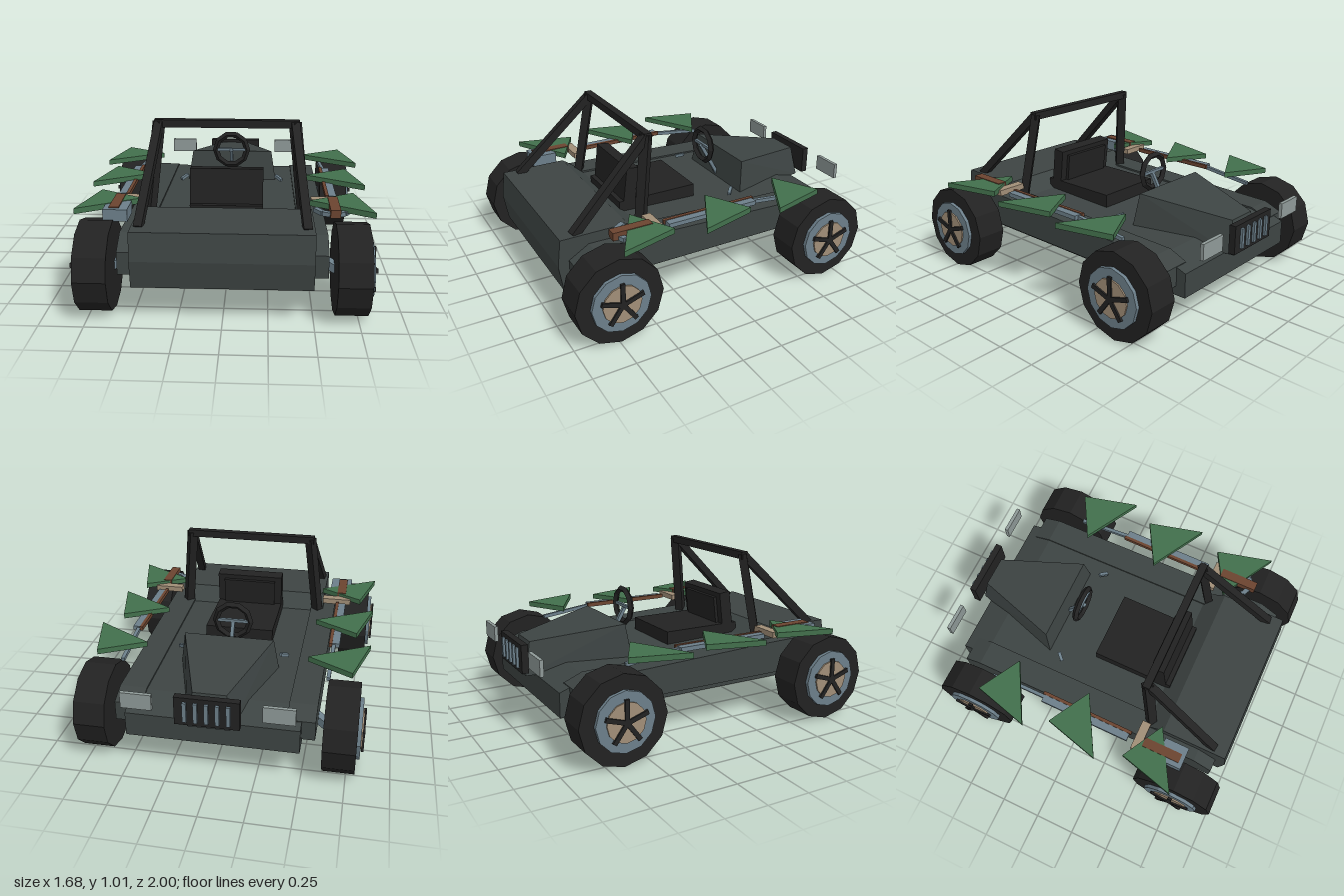
import * as THREE from 'three';
import { ConvexGeometry } from 'three/addons/geometries/ConvexGeometry.js';

const V = (x, y, z) => new THREE.Vector3(x, y, z);

export function createModel() {
  const model = new THREE.Group();
  model.name = 'buggy';
  const mat = (name, color) => {
    const m = new THREE.MeshStandardMaterial({ color, flatShading: true });
    m.name = name;
    return m;
  };
  const body = mat('body grey', 0x3d4443);
  const black = mat('black', 0x222222);
  const steel = mat('steel blue', 0x6c7f8a);
  const tan = mat('tan', 0xa18e77);
  const green = mat('green', 0x42704c);
  const brown = mat('brown', 0x6b4430);
  const lamp = mat('lamp grey', 0x8f9a98);

  const add = (name, geo, material, parent = model) => {
    const m = new THREE.Mesh(geo, material);
    m.name = name;
    parent.add(m);
    return m;
  };
  // box given by its minimum and maximum corners
  const box = (name, material, [x0, x1], [y0, y1], [z0, z1], parent) => {
    const m = add(name, new THREE.BoxGeometry(x1 - x0, y1 - y0, z1 - z0), material, parent);
    m.position.set((x0 + x1) / 2, (y0 + y1) / 2, (z0 + z1) / 2);
    return m;
  };
  // square bar between two points
  const bar = (name, material, a, b, w, h = w) => {
    const m = add(name, new THREE.BoxGeometry(w, h, a.distanceTo(b)), material);
    m.position.copy(a).add(b).multiplyScalar(0.5);
    m.lookAt(b);
    return m;
  };
  // side profile in (z, y), extruded across x
  const sideProfile = (name, pts, width, x) => {
    const shape = new THREE.Shape(pts.map(([z, y]) => new THREE.Vector2(z, y)));
    const geo = new THREE.ExtrudeGeometry(shape, { depth: width, bevelEnabled: false });
    geo.translate(0, 0, -width / 2).rotateY(-Math.PI / 2);
    add(name, geo, body).position.x = x;
  };

  // hull, with raised rear deck and sloping nose
  sideProfile('hull', [[0.94, 0.215], [0.965, 0.375], [0.945, 0.535], [0.54, 0.535], [0.43, 0.455],
    [-0.4, 0.428], [-0.72, 0.42], [-0.89, 0.36], [-0.89, 0.215]], 0.99, 0);

  // hood wedge
  const hood = [];
  for (const s of [-1, 1]) {
    hood.push(V(s * 0.305, 0.4, -0.345), V(s * 0.27, 0.625, -0.375),
      V(s * 0.12, 0.355, -0.945), V(s * 0.095, 0.55, -0.905));
  }
  add('hood', new ConvexGeometry(hood), body);

  // grille with upright bars
  box('grille', black, [-0.18, 0.18], [0.39, 0.56], [-0.985, -0.945]);
  for (let i = -2; i <= 2; i++) {
    box('grilleBar', steel, [i * 0.06 - 0.011, i * 0.06 + 0.011], [0.415, 0.535], [-1, -0.98]);
  }

  // seat
  box('seatBase', black, [-0.215, 0.215], [0.43, 0.52], [-0.055, 0.46]);
  const back = new THREE.Group();
  back.name = 'seatBack';
  back.position.set(0, 0.6, 0.375);
  back.rotation.x = -0.12;
  model.add(back);
  box('backrest', black, [-0.215, 0.215], [-0.12, 0.125], [-0.03, 0.045], back);
  box('backrestPad', black, [-0.17, 0.17], [-0.1, 0.095], [-0.05, -0.03], back);

  // steering wheel and column
  const rim = add('steeringWheel', new THREE.TorusGeometry(0.105, 0.02, 4, 10), black);
  rim.position.set(0, 0.67, -0.25);
  bar('steeringColumn', steel, V(0, 0.67, -0.235), V(0, 0.43, -0.37), 0.022);
  bar('steeringSpoke', steel, V(-0.1, 0.67, -0.25), V(0.1, 0.67, -0.25), 0.018);

  // roll cage crossbar
  box('rollBarTop', black, [-0.42, 0.42], [0.97, 1.015], [0.345, 0.39]);

  const wheel = (x, z, s) => {
    const g = new THREE.Group();
    g.name = 'wheel';
    g.position.set(x, 0.262, z);
    model.add(g);
    const disc = (name, r, x0, x1, sides, m) => {
      const geo = new THREE.CylinderGeometry(r, r, x1 - x0, sides).rotateZ(Math.PI / 2);
      add(name, geo, m, g).position.x = s * (x0 + x1) / 2;
    };
    disc('tire', 0.261, -0.092, 0.092, 12, black);
    disc('rim', 0.175, 0.085, 0.113, 12, steel);
    disc('hubDisc', 0.115, 0.11, 0.122, 12, tan);
    for (let i = 0; i < 5; i++) {
      const geo = new THREE.BoxGeometry(0.014, 0.13, 0.026).translate(s * 0.125, 0.065, 0);
      add('spoke', geo, black, g).rotation.x = i * Math.PI * 2 / 5;
    }
  };

  for (const s of [-1, 1]) {
    const span = (a, b) => (s > 0 ? [a, b] : [-b, -a]);

    // side sponson
    sideProfile('sponson', [[0.9, 0.27], [0.9, 0.4], [0.78, 0.472], [0.48, 0.468], [-0.4, 0.438],
      [-0.72, 0.43], [-0.83, 0.385], [-0.83, 0.27]], 0.16, s * 0.492);

    // wheels and suspension arms
    for (const z of [-0.655, 0.74]) {
      wheel(s * 0.708, z, s);
      bar('suspensionArm', steel, V(s * 0.48, 0.305, z * 0.85), V(s * 0.64, 0.255, z), 0.05, 0.05);
    }

    // roll cage posts and braces
    bar('rollBarPost', black, V(s * 0.455, 0.46, 0.445), V(s * 0.395, 1.0, 0.367), 0.055, 0.05);
    bar('rollBarBrace', black, V(s * 0.455, 0.525, 0.855), V(s * 0.395, 0.99, 0.375), 0.048);

    // head lamps and floor levers
    box('headLamp', lamp, span(0.303, 0.478), [0.46, 0.555], [-0.988, -0.966]);
    bar('lever', steel, V(s * 0.34, 0.46, -0.24), V(s * 0.3, 0.48, -0.28), 0.02);

    // tool rail, wooden handle and strap block
    box('toolRail', steel, span(0.595, 0.65), [0.53, 0.556], [-0.22, 0.36]);
    box('toolHandle', brown, span(0.585, 0.605), [0.535, 0.56], [-0.23, 0.37]);
    box('toolGrip', brown, span(0.588, 0.645), [0.54, 0.587], [0.46, 0.7]);
    box('strapBlock', tan, span(0.495, 0.68), [0.53, 0.565], [0.4, 0.455]);
    bar('railStay', steel, V(s * 0.615, 0.54, -0.2), V(s * 0.61, 0.5, -0.55), 0.022);

    // flat triangular fins
    for (const z of [-0.455, 0.03, 0.525]) {
      const shape = new THREE.Shape([[0.483, z], [0.745, z - 0.147], [0.835, z + 0.2]]
        .map(([x, zz]) => new THREE.Vector2(s * x, zz)));
      const geo = new THREE.ExtrudeGeometry(shape, { depth: 0.033, bevelEnabled: false });
      add('fin', geo.rotateX(Math.PI / 2), green).position.y = 0.583;
    }
  }

  // shovel blade on one side, pick head on the other
  box('shovelBlade', steel, [-0.675, -0.537], [0.51, 0.58], [0.57, 0.725]);
  const pick = [V(0.51, 0.548, 0.58), V(0.55, 0.548, 0.64), V(0.615, 0.548, 0.665),
    V(0.67, 0.548, 0.64), V(0.71, 0.548, 0.58)];
  for (let i = 0; i < 4; i++) bar('pickHead', steel, pick[i], pick[i + 1], 0.03, 0.025);

  return model;
}
